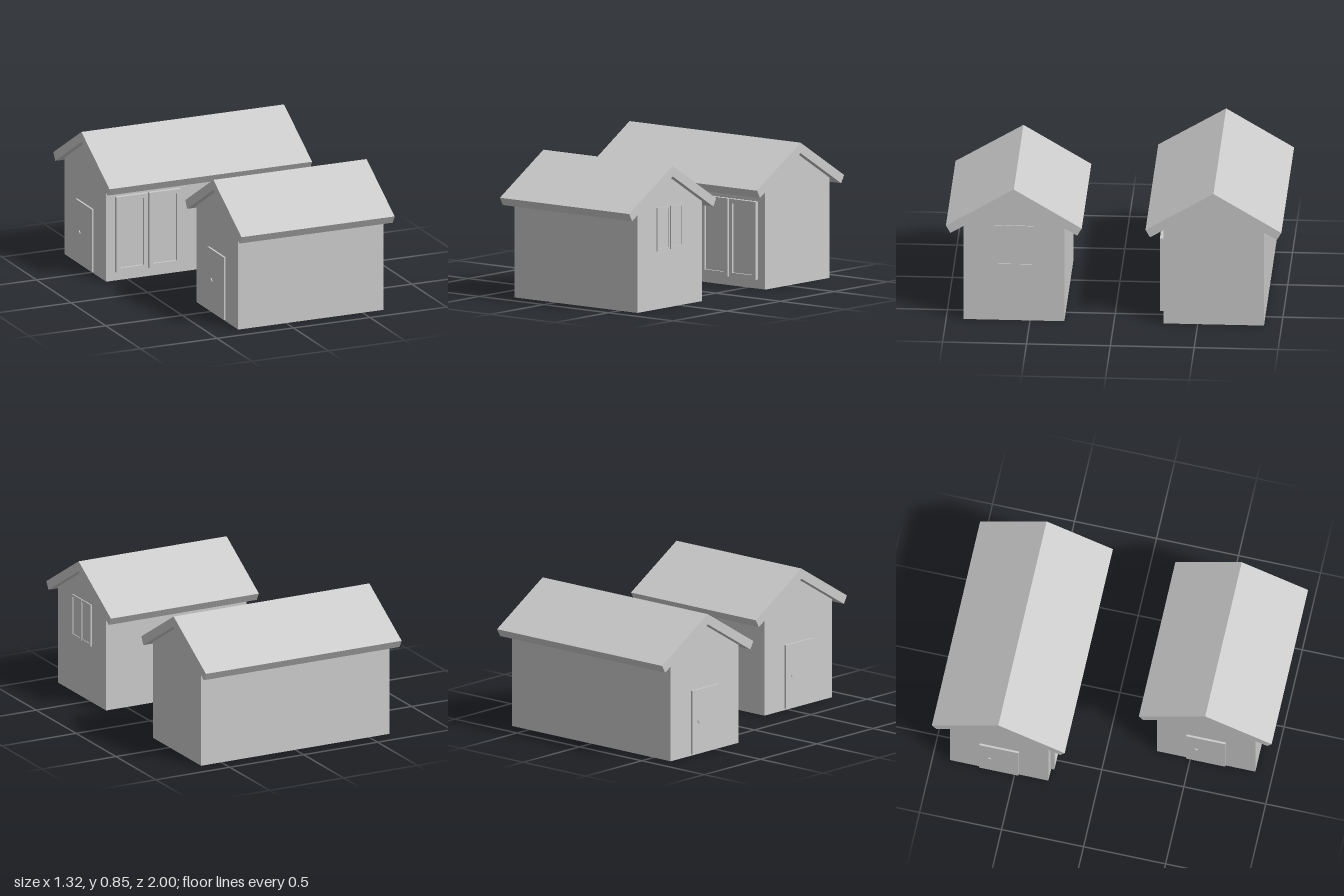
import * as THREE from 'three';

const material = new THREE.MeshStandardMaterial({ color: 0xcccccc, flatShading: true });

function mesh(name, geometry, x = 0, y = 0, z = 0) {
  const m = new THREE.Mesh(geometry, material);
  m.name = name;
  m.position.set(x, y, z);
  return m;
}

// Gable outline (points are z, y) swept along x between x0 and x1
function sweepX(name, points, x0, x1) {
  const shape = new THREE.Shape(points.map(([z, y]) => new THREE.Vector2(z, y)));
  const geometry = new THREE.ExtrudeGeometry(shape, { depth: x1 - x0, bevelEnabled: false });
  geometry.rotateY(-Math.PI / 2);
  return mesh(name, geometry, x1);
}

// Framed pane facing +z, standing on its local y = 0
function framedPane(name, w, h, border, depth, paneDepth) {
  const group = new THREE.Group();
  group.name = name;
  const rect = (C, hw, y0, y1) => new C([[-hw, y0], [hw, y0], [hw, y1], [-hw, y1]]
    .map(([x, y]) => new THREE.Vector2(x, y)));
  const shape = rect(THREE.Shape, w / 2, 0, h);
  shape.holes.push(rect(THREE.Path, w / 2 - border, border, h - border));
  group.add(mesh('frame', new THREE.ExtrudeGeometry(shape, { depth, bevelEnabled: false })));
  group.add(mesh('glass', new THREE.BoxGeometry(w - 2 * border, h - 2 * border, paneDepth),
    0, h / 2, paneDepth / 2));
  return group;
}

// Entrance door facing +z with a round knob
function makeDoor() {
  const door = new THREE.Group();
  door.name = 'door';
  door.add(mesh('doorLeaf', new THREE.BoxGeometry(0.24, 0.39, 0.012), 0, 0.205, 0.006));
  const knob = new THREE.CylinderGeometry(0.014, 0.014, 0.006, 16);
  knob.rotateX(Math.PI / 2);
  door.add(mesh('doorKnob', knob, -0.06, 0.205, 0.015));
  return door;
}

// Walls, overhanging gable roof and the door in the -x end
function makeHouse(name, x0, x1, z) {
  const house = new THREE.Group();
  house.name = name;
  house.position.z = z;
  house.add(sweepX('walls',
    [[-0.3, 0], [0.3, 0], [0.3, 0.603], [0, 0.782], [-0.3, 0.603]], x0, x1));
  house.add(sweepX('roof',
    [[0.405, 0.61], [0, 0.852], [-0.405, 0.61], [-0.378, 0.563], [0, 0.789], [0.378, 0.563]],
    x0 - 0.026, x1 + 0.024));
  const door = makeDoor();
  door.position.x = x0;
  door.rotation.y = -Math.PI / 2;
  house.add(door);
  return house;
}

export function createModel() {
  const model = new THREE.Group();
  model.name = 'twoHouses';

  // Small house in front, with a double window in its +x end
  const small = makeHouse('smallHouse', -0.314, 0.637, 0.595);
  const gableWindow = new THREE.Group();
  gableWindow.name = 'gableWindow';
  for (const side of [-1, 1]) {
    const sash = framedPane('windowSash', 0.117, 0.26, 0.014, 0.007, 0.002);
    sash.position.x = side * 0.0615;
    gableWindow.add(sash);
  }
  gableWindow.position.set(0.637, 0.35, 0);
  gableWindow.rotation.y = Math.PI / 2;
  small.add(gableWindow);
  model.add(small);

  // Long house behind, with two pairs of tall glazed panels facing the small one
  const long = makeHouse('longHouse', -0.637, 0.637, -0.595);
  for (const x of [-0.478, -0.2625, 0.2625, 0.478]) {
    const panel = framedPane('glazedPanel', 0.206, 0.47, 0.026, 0.024, 0.01);
    panel.position.set(x, 0.055, 0.3);
    long.add(panel);
  }
  model.add(long);

  return model;
}
